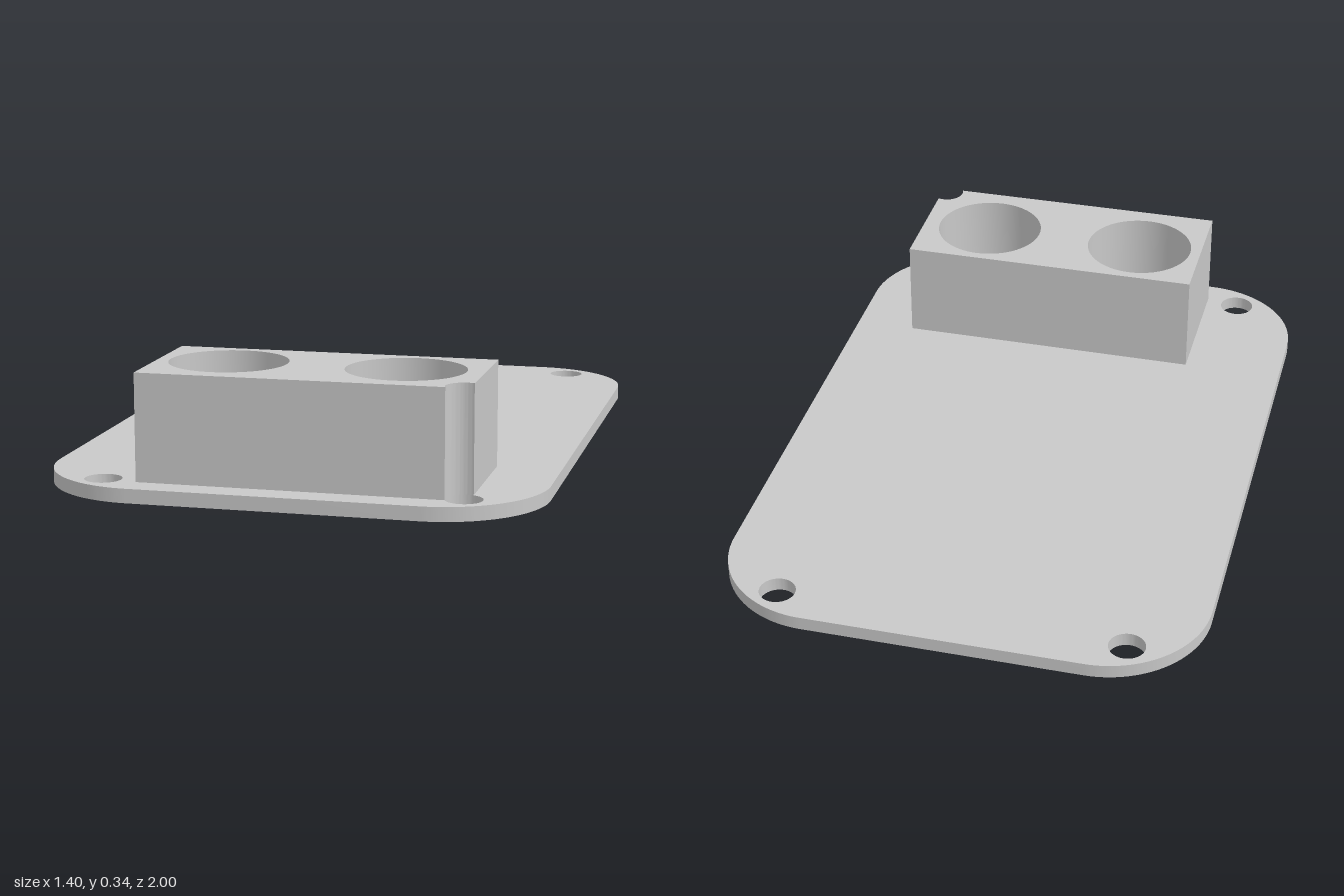
import * as THREE from 'three';
import { toCreasedNormals } from 'three/addons/utils/BufferGeometryUtils.js';

const HOLE_R = 0.052, PLATE_H = 0.04, BLOCK_H = 0.302;

// Round hole in plan; plan y is -z
function addHole(shape, x, z, r) {
  const hole = new THREE.Path();
  hole.absarc(x, -z, r, 0, Math.PI * 2, true);
  shape.holes.push(hole);
}

// Extrude a plan shape upwards from a given height
function extrudeUp(shape, height, base) {
  const geo = new THREE.ExtrudeGeometry(shape, { depth: height, bevelEnabled: false, curveSegments: 32 });
  geo.rotateX(-Math.PI / 2);
  geo.translate(0, base, 0);
  return toCreasedNormals(geo, 0.6);
}

function plateShape() {
  const w = 0.7, d = 1, r = 0.3, q = Math.PI / 2;
  const s = new THREE.Shape();
  s.absarc(w - r, d - r, r, 0, q);
  s.absarc(-w + r, d - r, r, q, 2 * q);
  s.absarc(-w + r, -d + r, r, 2 * q, 3 * q);
  s.absarc(w - r, -d + r, r, 3 * q, 4 * q);
  s.closePath();
  for (const x of [-0.5, 0.5]) for (const z of [-0.9, 0.9]) addHole(s, x, z, HOLE_R);
  return s;
}

function blockShape() {
  const x0 = -0.4, x1 = 0.517, back = -0.505, front = -0.921;
  const cx = 0.5, cy = -0.9;
  // Corner notch follows the screw hole below it
  const a0 = Math.PI + Math.asin((cy - front) / HOLE_R);
  const a1 = Math.acos((x1 - cx) / HOLE_R);
  const s = new THREE.Shape();
  s.moveTo(x0, back);
  s.lineTo(x0, front);
  s.absarc(cx, cy, HOLE_R, a0, a1, true);
  s.lineTo(x1, back);
  s.closePath();
  for (const x of [-0.2, 0.3]) addHole(s, x, 0.7, 0.167);
  return s;
}

export function createModel() {
  const group = new THREE.Group();
  const grey = new THREE.MeshStandardMaterial({ color: 0xc8c8c8 });
  grey.name = 'grey';

  // Rounded base plate with four screw holes
  const plate = new THREE.Mesh(extrudeUp(plateShape(), PLATE_H, 0), grey);
  plate.name = 'basePlate';

  // Holder block with two round wells
  const block = new THREE.Mesh(extrudeUp(blockShape(), BLOCK_H, PLATE_H), grey);
  block.name = 'holderBlock';

  group.add(plate, block);
  return group;
}
